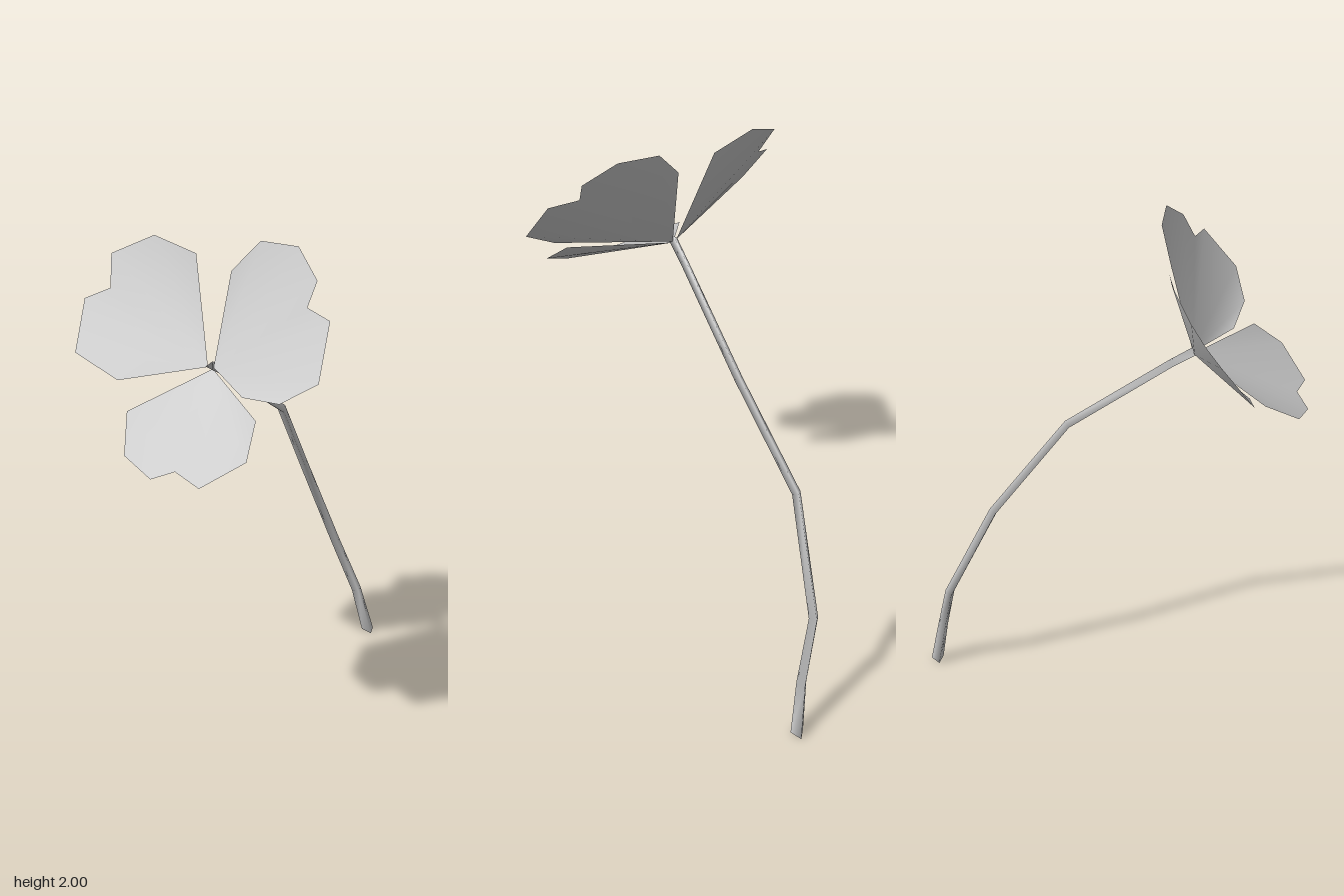
import * as THREE from 'three';

const leafMaterial = new THREE.MeshStandardMaterial({ color: 0xcccccc, side: THREE.DoubleSide });
leafMaterial.name = 'pale grey';

// Indexed triangles with smooth normals
function smoothMesh(name, points, index) {
  const geometry = new THREE.BufferGeometry();
  geometry.setAttribute('position', new THREE.Float32BufferAttribute(points.flat(), 3));
  geometry.setIndex(index);
  geometry.computeVertexNormals();
  const mesh = new THREE.Mesh(geometry, leafMaterial);
  mesh.name = name;
  return mesh;
}

// Heart-shaped leaflet: a fan from its base around the notched rim
function leaflet(name, base, rim) {
  const index = [];
  for (let i = 1; i < rim.length; i++) index.push(0, i, i + 1);
  return smoothMesh(name, [base, ...rim], index);
}

// Three-sided tapering tube through [x, y, z, radius] stations
function triangularTube(name, stations) {
  const centres = stations.map(([x, y, z]) => new THREE.Vector3(x, y, z));
  const up = new THREE.Vector3(0, 1, 0);
  const points = [], index = [];
  centres.forEach((centre, i) => {
    const before = centres[Math.max(i - 1, 0)];
    const after = centres[Math.min(i + 1, centres.length - 1)];
    const tangent = i === 0 ? up : after.clone().sub(before).normalize();
    const turn = new THREE.Quaternion().setFromUnitVectors(up, tangent);
    for (let k = 0; k < 3; k++) {
      const angle = Math.PI / 3 + (k * Math.PI * 2) / 3;
      const r = stations[i][3];
      const corner = new THREE.Vector3(Math.cos(angle) * r, 0, Math.sin(angle) * r);
      points.push(corner.applyQuaternion(turn).add(centre).toArray());
      if (i === 0) continue;
      const a = (i - 1) * 3 + k, b = (i - 1) * 3 + ((k + 1) % 3);
      index.push(a, a + 3, b, b, a + 3, b + 3);
    }
  });
  return smoothMesh(name, points, index);
}

export function createModel() {
  const clover = new THREE.Group();
  clover.name = 'clover';

  // Arching stem, open at both ends
  clover.add(triangularTube('stem', [
    [0.443, 0, -0.7, 0.029],
    [0.39, 0.21, -0.672, 0.023],
    [0.295, 0.45, -0.645, 0.021],
    [0.187, 0.88, -0.468, 0.019],
    [0.16, 1.235, -0.178, 0.018],
    [0.03, 1.51, 0.18, 0.017],
    [0.002, 1.562, 0.256, 0.018],
  ]));

  // Three leaflets, rims counter-clockwise seen from their upper face
  clover.add(leaflet('frontLeaflet', [0.01, 1.55, 0.25], [
    [-0.24, 1.445, 0.44], [-0.205, 1.35, 0.585], [-0.09, 1.315, 0.665], [-0.01, 1.345, 0.65],
    [0.09, 1.33, 0.72], [0.235, 1.42, 0.675], [0.237, 1.515, 0.56],
  ]));
  clover.add(leaflet('leftLeaflet', [0.012, 1.555, 0.25], [
    [0.165, 1.545, 0.455], [0.31, 1.575, 0.545], [0.437, 1.66, 0.55], [0.443, 1.825, 0.42],
    [0.355, 1.84, 0.357], [0.378, 1.92, 0.318], [0.295, 2.0, 0.228], [0.155, 1.99, 0.17],
    [0.055, 1.88, 0.176],
  ]));
  clover.add(leaflet('rightLeaflet', [-0.008, 1.555, 0.25], [
    [-0.08, 1.915, 0.13], [-0.24, 1.955, 0.09], [-0.39, 1.885, 0.112], [-0.377, 1.78, 0.172],
    [-0.462, 1.745, 0.2], [-0.463, 1.587, 0.315], [-0.297, 1.52, 0.36],
  ]));

  return clover;
}
